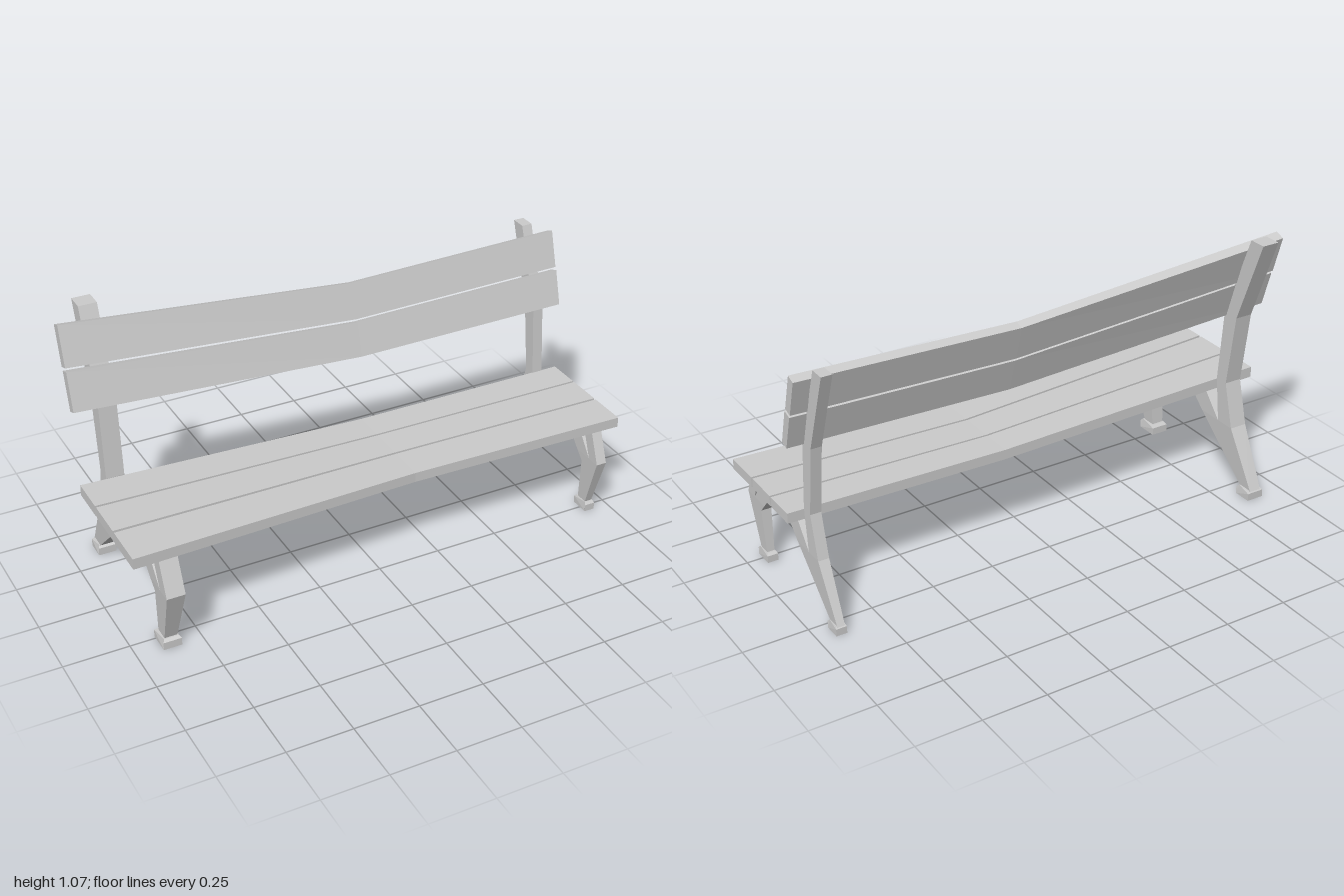
import * as THREE from 'three';

const material = new THREE.MeshStandardMaterial({ color: 0xcccccc, flatShading: true });

// The bench grows toward its right end and dips just past the middle.
const stations = [
  { x: -1, map: ([z, y]) => [1.145 * z, 1.07 * y] },
  { x: 0.13, map: ([z, y]) => [0.96 * z - 0.017, 0.97 * y + 0.005] },
  { x: 1, map: ([z, y]) => [z, y] },
];

// Plank lofted through the stations; the section holds [z, y] corners.
function plank(name, section) {
  const rings = stations.map(s => section.map(p => {
    const [z, y] = s.map(p);
    return [s.x, y, z];
  }));
  const pos = [];
  const quad = (a, b, c, d) => pos.push(...a, ...b, ...c, ...a, ...c, ...d);
  for (let i = 0; i < rings.length - 1; i++) {
    for (let k = 0; k < 4; k++) {
      const n = (k + 1) % 4;
      quad(rings[i][k], rings[i][n], rings[i + 1][n], rings[i + 1][k]);
    }
  }
  quad(...rings[rings.length - 1]);
  quad(...[...rings[0]].reverse());
  const geo = new THREE.BufferGeometry();
  geo.setAttribute('position', new THREE.Float32BufferAttribute(pos, 3));
  geo.computeVertexNormals();
  const mesh = new THREE.Mesh(geo, material);
  mesh.name = name;
  return mesh;
}

// Side profile of [z, y] points extruded across x; widthAt(y) narrows it.
function sidePiece(name, points, scale, widthAt = () => 1) {
  const shape = new THREE.Shape(points.map(([z, y]) => new THREE.Vector2(-z, y)));
  const geo = new THREE.ExtrudeGeometry(shape, { depth: 1, bevelEnabled: false });
  geo.translate(0, 0, -0.5).rotateY(Math.PI / 2);
  const p = geo.attributes.position;
  for (let i = 0; i < p.count; i++) p.setX(i, p.getX(i) * widthAt(p.getY(i)));
  geo.scale(...scale);
  geo.computeVertexNormals();
  const mesh = new THREE.Mesh(geo, material);
  mesh.name = name;
  return mesh;
}

// Cast end frame: back post, seat bar and braces, two legs and feet.
function endFrame(name, x, scale) {
  const frame = new THREE.Group();
  frame.name = name;
  frame.position.x = x;

  const legWidth = y => 0.7 + 0.3 * (y - 0.035) / 0.21;
  const footWidth = y => (y > 0.03 ? 0.8 : 1);
  const foot = (a, b) => [
    [a, 0], [b, 0], [b, 0.028], [b + 0.008, 0.037], [a - 0.008, 0.037], [a, 0.028],
  ];

  frame.add(
    sidePiece('backPostAndSeatSupport', [
      // back post
      [-0.226, 0.245], [-0.184, 0.41], [-0.218, 0.683], [-0.328, 1.0],
      [-0.268, 1.0], [-0.157, 0.683], [-0.136, 0.41], [-0.155, 0.245],
      // seat bar with a notch at each end
      [-0.05, 0.372], [0.184, 0.372], [0.285, 0.245], [0.234, 0.372],
      // front knee
      [0.288, 0.372], [0.339, 0.245],
      // underside arch
      [0.204, 0.245], [0.144, 0.31], [0, 0.31], [-0.066, 0.245],
    ], scale),
    sidePiece('frontLeg', [
      [0.339, 0.245], [0.271, 0.033], [0.223, 0.033], [0.237, 0.21], [0.204, 0.245],
    ], scale, legWidth),
    sidePiece('backLeg', [
      [-0.066, 0.245], [-0.283, 0.033], [-0.336, 0.033], [-0.226, 0.245],
    ], scale, legWidth),
    sidePiece('frontFoot', foot(0.285, 0.208), scale, footWidth),
    sidePiece('backFoot', foot(-0.274, -0.338), scale, footWidth),
  );
  return frame;
}

export function createModel() {
  const bench = new THREE.Group();
  bench.name = 'bench';

  // Seat planks, front to back
  [[0.306, 0.153], [0.143, 0.002], [-0.007, -0.137]].forEach(([f, b], i) => {
    bench.add(plank(`seatPlank${i + 1}`, [[f, 0.372], [b, 0.372], [b, 0.412], [f, 0.412]]));
  });

  // Leaning backrest planks
  bench.add(
    plank('lowerBackPlank', [[-0.136, 0.694], [-0.168, 0.682], [-0.206, 0.815], [-0.172, 0.827]]),
    plank('upperBackPlank', [[-0.179, 0.838], [-0.212, 0.826], [-0.251, 0.964], [-0.218, 0.977]]),
  );

  bench.add(
    endFrame('rightFrame', -0.867, [0.07, 1.068, 1.145]),
    endFrame('leftFrame', 0.915, [0.042, 1, 1]),
  );
  return bench;
}
